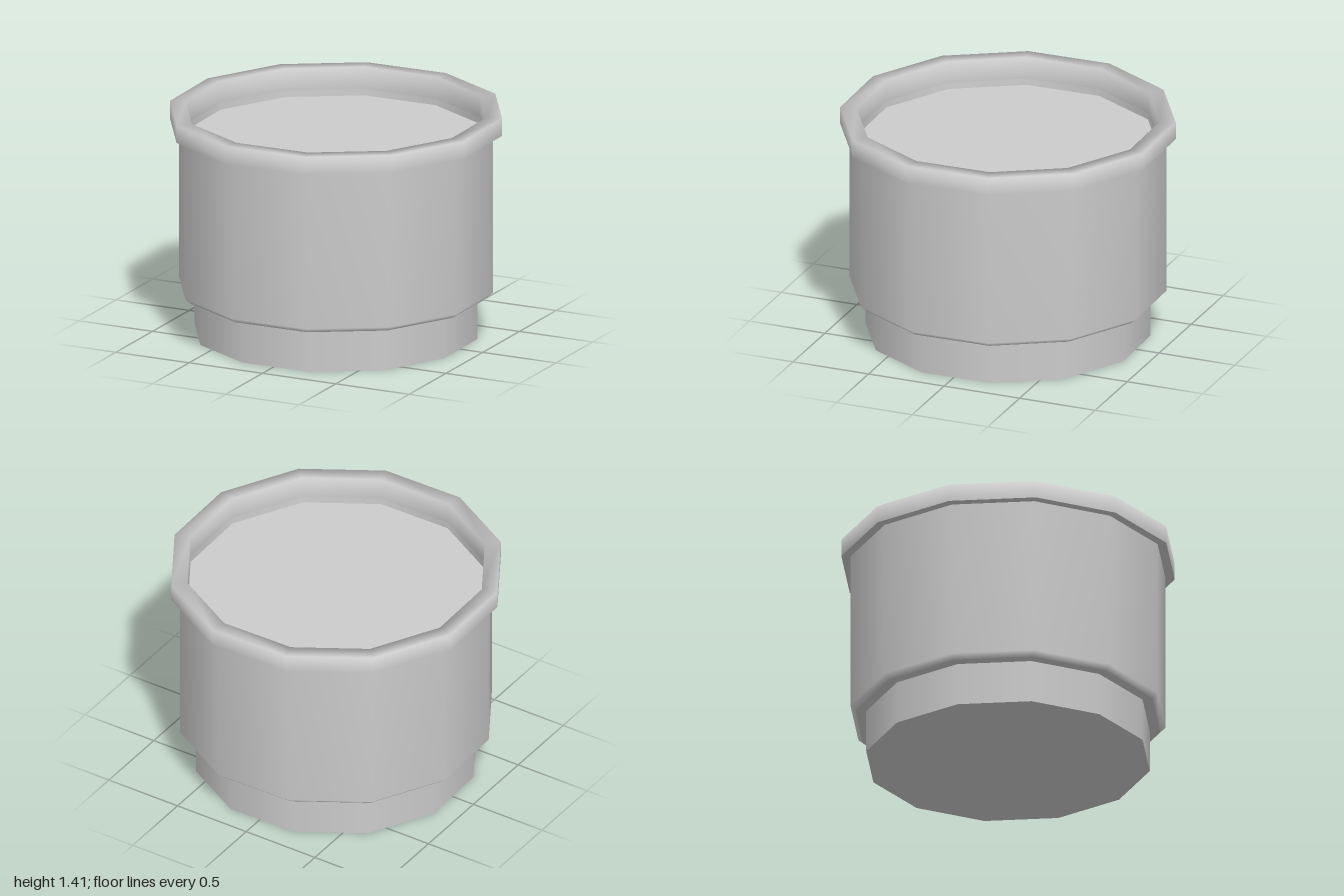
import * as THREE from 'three';

const SIDES = 12;
const TURN = THREE.MathUtils.degToRad(16);

export function createModel() {
  const group = new THREE.Group();
  const material = new THREE.MeshStandardMaterial({ color: 0xcccccc });

  // Revolve a [radius, height] profile into a twelve-sided shell, smooth along the profile
  function ring(name, profile) {
    const points = profile.map(([r, y]) => new THREE.Vector2(r, y));
    const mesh = new THREE.Mesh(new THREE.LatheGeometry(points, SIDES, TURN, Math.PI * 2), material);
    mesh.name = name;
    group.add(mesh);
  }

  // Narrow foot
  ring('footBottom', [[0, 0], [0.876, 0]]);
  ring('footWall', [[0.876, 0], [0.876, 0.27]]);

  // Main body with a small chamfer below
  ring('bodyUnderside', [[0.876, 0.27], [0.94, 0.27]]);
  ring('bodyWall', [[0.94, 0.27], [0.974, 0.3], [0.974, 1.3]]);

  // Overhanging rim, softly shaded over the top
  ring('rimUnderside', [[0.974, 1.3], [1.03, 1.3]]);
  ring('rim', [[1.03, 1.3], [1.03, 1.41], [0.93, 1.41], [0.93, 1.27]]);

  // Recess inside the rim
  ring('recessWall', [[0.93, 1.27], [0.927, 1.23]]);
  ring('recessFloor', [[0.927, 1.23], [0, 1.23]]);

  return group;
}
